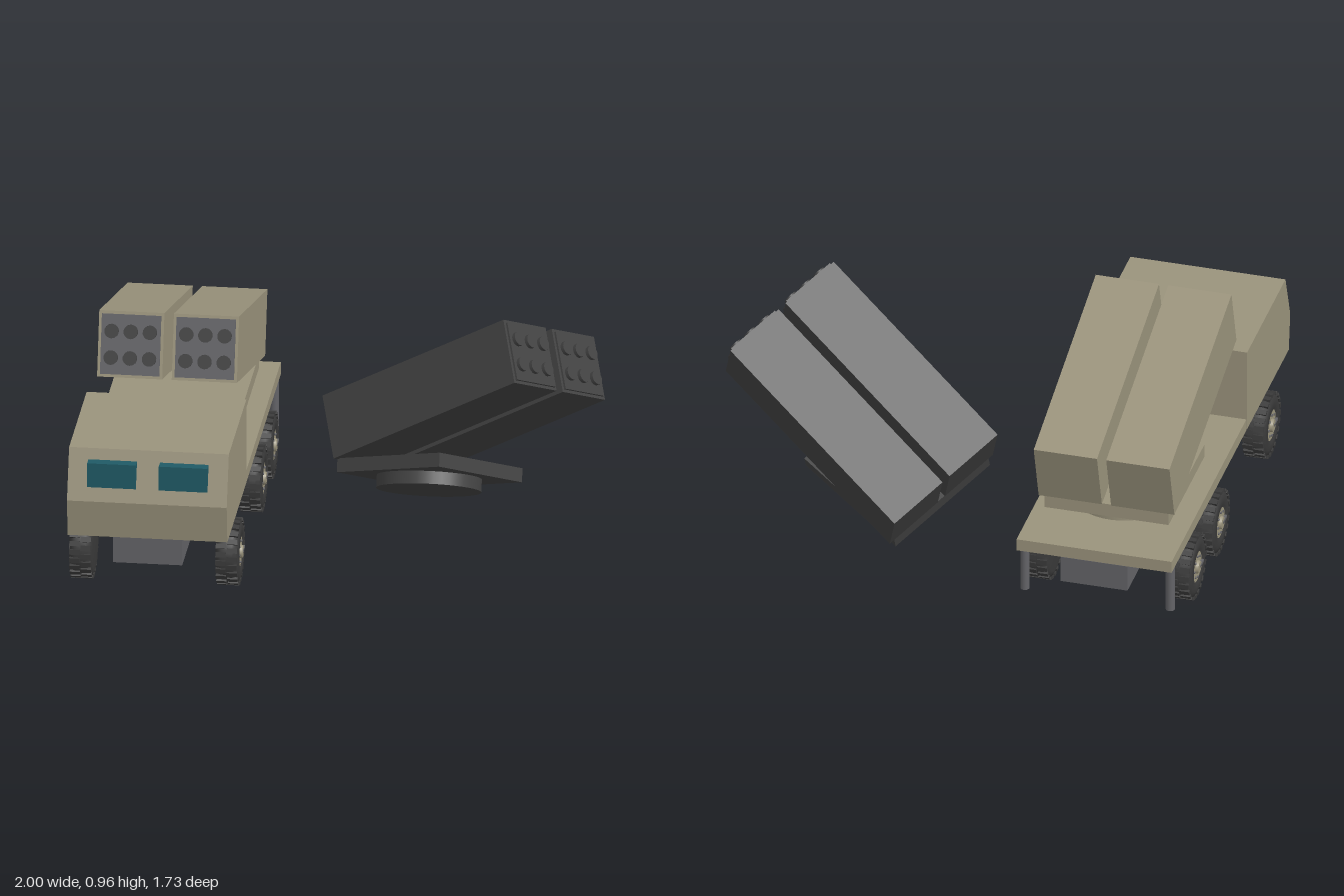
import * as THREE from 'three';

const material = (name, color, extra = {}) => {
  const m = new THREE.MeshStandardMaterial({ color, ...extra });
  m.name = name;
  return m;
};

export function createModel() {
  const tan = material('tan paint', 0x9a937c);
  const charcoal = material('charcoal paint', 0x424242);
  const grey = material('chassis grey', 0x636367);
  const rubber = material('tyre rubber', 0x3a3a3a);
  const glass = material('teal glass', 0x1f5a66);

  const model = new THREE.Group();
  model.name = 'launcherTruck';

  const add = (parent, name, geometry, mat, x = 0, y = 0, z = 0) => {
    const mesh = new THREE.Mesh(geometry, mat);
    mesh.name = name;
    mesh.position.set(x, y, z);
    parent.add(mesh);
    return mesh;
  };
  const box = (w, h, d) => new THREE.BoxGeometry(w, h, d);

  // Launcher: turntable, base plate and two tilted pods, origin under the turntable
  function launcher(name, bodyMat, panelMat, capMat) {
    const group = new THREE.Group();
    group.name = name;
    add(group, 'turntable', new THREE.CylinderGeometry(0.205, 0.205, 0.05, 40), bodyMat, 0, 0.025, 0);
    add(group, 'basePlate', box(0.5, 0.055, 0.52), bodyMat, 0, 0.0775, 0);

    const pods = new THREE.Group();
    pods.name = 'podPair';
    pods.position.set(0, 0.355, 0.156);
    pods.rotation.x = -THREE.MathUtils.degToRad(16);
    group.add(pods);

    const capGeometry = new THREE.CylinderGeometry(0.028, 0.028, 0.016, 14).rotateX(Math.PI / 2);
    for (const side of [-1, 1]) {
      const pod = new THREE.Group();
      pod.name = side > 0 ? 'leftPod' : 'rightPod';
      pod.position.x = side * 0.146;
      pods.add(pod);
      add(pod, 'podBody', box(0.255, 0.26, 0.94), bodyMat);
      add(pod, 'podFrontPanel', box(0.232, 0.236, 0.009), panelMat, 0, 0, 0.4735);
      for (const row of [-1, 1]) {
        for (const col of [-1, 0, 1]) {
          add(pod, 'tubeCap', capGeometry, capMat, col * 0.075, row * 0.052, 0.484);
        }
      }
    }
    return group;
  }

  // Truck, centred on its own axis
  const truck = new THREE.Group();
  truck.name = 'truck';
  truck.position.x = -0.6625;
  model.add(truck);

  add(truck, 'chassis', box(0.27, 0.11, 1.7), grey, 0, 0.243, -0.012);
  add(truck, 'bed', box(0.625, 0.05, 1.088), tan, 0, 0.323, -0.317);

  // Cab: side profile extruded across the width
  const profile = new THREE.Shape([
    [0.238, 0.297], [0.845, 0.297], [0.866, 0.45], [0.797, 0.647], [0.238, 0.647],
  ].map(([z, y]) => new THREE.Vector2(-z, y)));
  const cabGeometry = new THREE.ExtrudeGeometry(profile, { depth: 0.625, bevelEnabled: false })
    .translate(0, 0, -0.3125)
    .rotateY(Math.PI / 2);
  add(truck, 'cab', cabGeometry, tan);
  for (const side of [-1, 1]) {
    add(truck, 'windscreen', box(0.19, 0.1, 0.05), glass, side * 0.14, 0.555, 0.828);
    add(truck, 'rearLeg', new THREE.CylinderGeometry(0.018, 0.018, 0.2, 16), grey, side * 0.293, 0.2, -0.81);
  }

  // Wheel: outer face towards +x
  const tyreGeometry = new THREE.LatheGeometry([
    [0, -0.045], [0.1, -0.045], [0.122, -0.036], [0.127, -0.02], [0.127, 0.02],
    [0.122, 0.036], [0.1, 0.045], [0.068, 0.045], [0.062, 0.032], [0, 0.032],
  ].map(([r, y]) => new THREE.Vector2(r, y)), 32).rotateZ(-Math.PI / 2);
  const hubGeometry = new THREE.CylinderGeometry(0.062, 0.062, 0.012, 28).rotateZ(Math.PI / 2);
  const capGeometry = new THREE.CylinderGeometry(0.024, 0.028, 0.014, 16).rotateZ(-Math.PI / 2);
  const boltGeometry = new THREE.CylinderGeometry(0.005, 0.005, 0.008, 8).rotateZ(Math.PI / 2);
  const lugGeometry = box(0.04, 0.012, 0.02);

  function wheel(name) {
    const group = new THREE.Group();
    group.name = name;
    add(group, 'tyre', tyreGeometry, rubber);
    add(group, 'hub', hubGeometry, tan, 0.034);
    add(group, 'hubCap', capGeometry, tan, 0.044);
    add(group, 'hubBar', box(0.008, 0.01, 0.055), grey, 0.048, 0, -0.026);
    for (let i = 0; i < 8; i++) {
      const a = (i / 8) * Math.PI * 2;
      add(group, 'bolt', boltGeometry, grey, 0.041, Math.sin(a) * 0.045, Math.cos(a) * 0.045);
    }
    // Two staggered rows of tread lugs
    const count = 24;
    for (const side of [-1, 1]) {
      for (let i = 0; i < count; i++) {
        const a = ((i + (side > 0 ? 0.5 : 0)) / count) * Math.PI * 2;
        const lug = add(group, 'treadLug', lugGeometry, rubber,
          side * 0.022, Math.cos(a) * 0.127, Math.sin(a) * 0.127);
        lug.rotation.x = a;
      }
    }
    return group;
  }

  [['front', 0.543], ['middle', -0.2], ['rear', -0.537]].forEach(([label, z]) => {
    for (const side of [-1, 1]) {
      const w = wheel(label + (side > 0 ? 'LeftWheel' : 'RightWheel'));
      w.position.set(side * 0.286, 0.135, z);
      if (side < 0) w.scale.set(1, 1, 1), w.rotation.y = Math.PI;
      truck.add(w);
    }
  });

  // Launcher mounted on the bed
  const mounted = launcher('mountedLauncher', tan, grey, charcoal);
  mounted.position.set(0, 0.348, -0.42);
  truck.add(mounted);

  // Spare launcher, tipped over beside the truck
  const spare = launcher('spareLauncher', charcoal, charcoal, charcoal);
  const left = new THREE.Vector3(0.56, -0.404, -0.725).normalize();
  const front = new THREE.Vector3(0.831, 0.285, 0.478).normalize();
  const up = new THREE.Vector3().crossVectors(front, left).normalize();
  front.crossVectors(left, up);
  spare.quaternion.setFromRotationMatrix(new THREE.Matrix4().makeBasis(left, up, front));
  spare.position.set(0.314, 0.132, -0.165);
  model.add(spare);

  return model;
}
